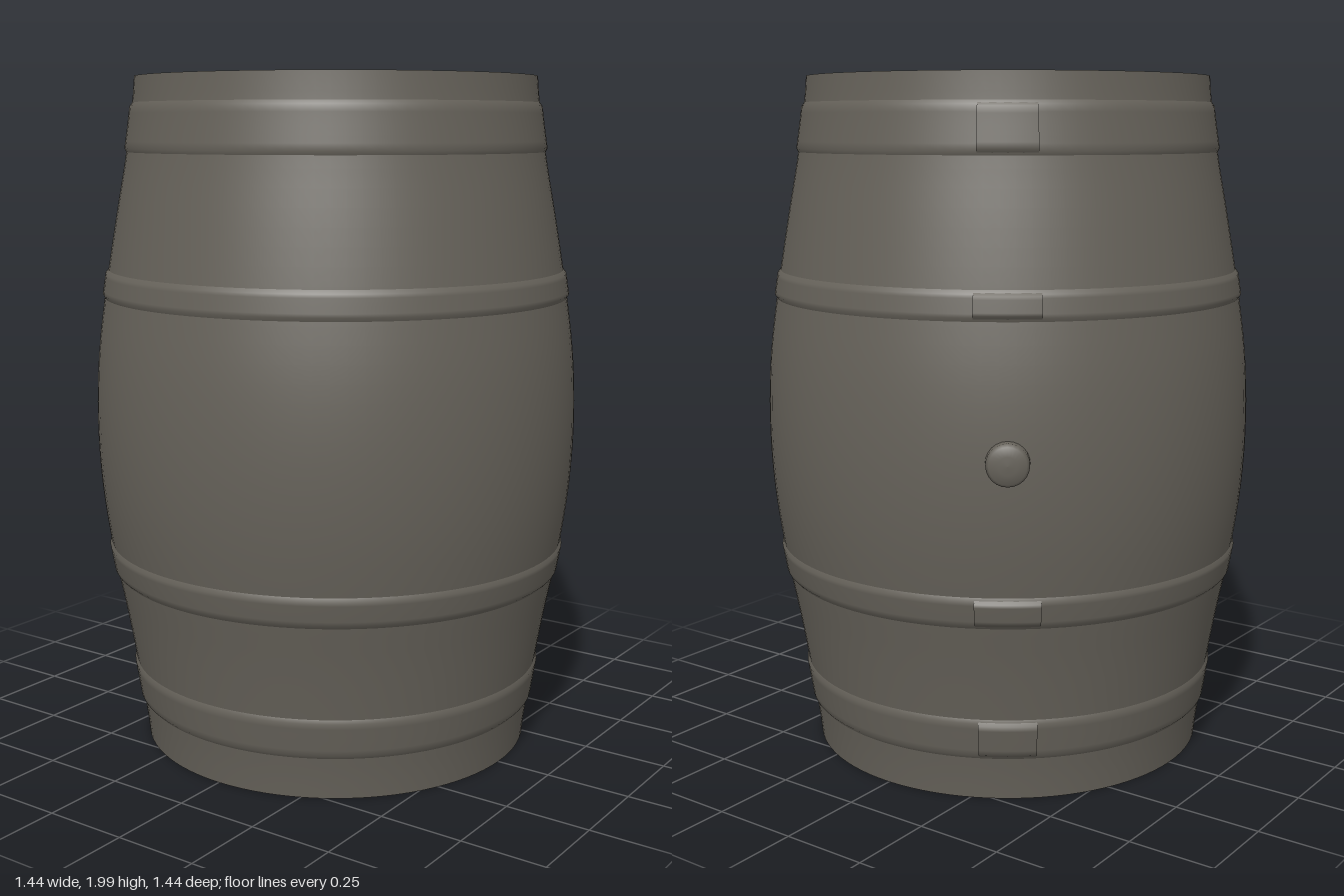
import * as THREE from 'three';

const V = (r, y) => new THREE.Vector2(r, y);

// Radius of the staves at height y, from a smooth curve through a few points
const stations = [[0.585, 0], [0.612, 0.2], [0.645, 0.4], [0.683, 0.6], [0.71, 0.8], [0.719, 1],
  [0.71, 1.2], [0.683, 1.4], [0.649, 1.6], [0.613, 1.8], [0.588, 2]];
function radius(y) {
  const i = Math.min(9, Math.max(0, Math.floor(y / 0.2)));
  const t = y / 0.2 - i;
  const p = (k) => stations[Math.min(10, Math.max(0, k))][0];
  const m0 = (p(i + 1) - p(i - 1)) / 2, m1 = (p(i + 2) - p(i)) / 2;
  const t2 = t * t, t3 = t2 * t;
  return (2 * t3 - 3 * t2 + 1) * p(i) + (t3 - 2 * t2 + t) * m0 + (3 * t2 - 2 * t3) * p(i + 1) + (t3 - t2) * m1;
}

export function createModel() {
  const group = new THREE.Group();
  const wood = new THREE.MeshStandardMaterial({ color: 0x66625a });
  wood.name = 'weathered grey brown';
  const BUNG = Math.PI + 0.62; // direction of the bung and hoop seams

  function add(name, geometry) {
    const mesh = new THREE.Mesh(geometry, wood);
    mesh.name = name;
    group.add(mesh);
    return mesh;
  }

  // Bulging body
  const body = [];
  for (let i = 0; i <= 40; i++) body.push(V(radius(0.01 + i * 1.99 / 40), 0.01 + i * 1.99 / 40));
  add('staves', new THREE.LatheGeometry(body, 96));

  // A raised band following the body, with soft edges
  function band(name, y0, y1, h, start = 0, length = Math.PI * 2, segments = 96) {
    const pts = [V(radius(y0) - 0.003, y0)];
    for (let i = 0; i <= 6; i++) {
      const y = y0 + 0.015 + (y1 - y0 - 0.03) * i / 6;
      pts.push(V(radius(y) + h, y));
    }
    pts.push(V(radius(y1) - 0.003, y1));
    add(name, new THREE.LatheGeometry(pts, segments, start, length));
  }
  const hoops = [['bottomHoop', 0.13, 0.26], ['lowerHoop', 0.53, 0.63],
    ['upperHoop', 1.36, 1.45], ['topHoop', 1.78, 1.93]];
  for (const [name, y0, y1] of hoops) {
    band(name, y0, y1, 0.007);
    band(name + 'Seam', y0 + 0.005, y1 - 0.005, 0.014, BUNG - 0.13, 0.26, 8);
  }

  // Rims turning inwards to the recessed heads
  add('topRim', new THREE.LatheGeometry([V(0.588, 2), V(0.582, 2), V(0.574, 1.975), V(0.562, 1.945), V(0.55, 1.93)], 96));
  add('bottomRim', new THREE.LatheGeometry([V(0.55, 0.08), V(0.562, 0.065), V(0.574, 0.035), V(0.579, 0.01), V(radius(0.01), 0.01)], 96));
  const top = add('topHead', new THREE.CircleGeometry(0.56, 96));
  top.rotation.x = -Math.PI / 2;
  top.position.y = 1.932;
  const bottom = add('bottomHead', new THREE.CircleGeometry(0.56, 96));
  bottom.rotation.x = Math.PI / 2;
  bottom.position.y = 0.078;

  // Rounded bung at mid height
  const bung = add('bung', new THREE.LatheGeometry(
    [V(0.06, -0.03), V(0.058, 0.025), V(0.05, 0.035), V(0.025, 0.039), V(0, 0.04)], 24));
  bung.rotation.order = 'YXZ';
  bung.rotation.set(Math.PI / 2, BUNG, 0);
  bung.position.set(0.716 * Math.sin(BUNG), 1, 0.716 * Math.cos(BUNG));

  return group;
}
